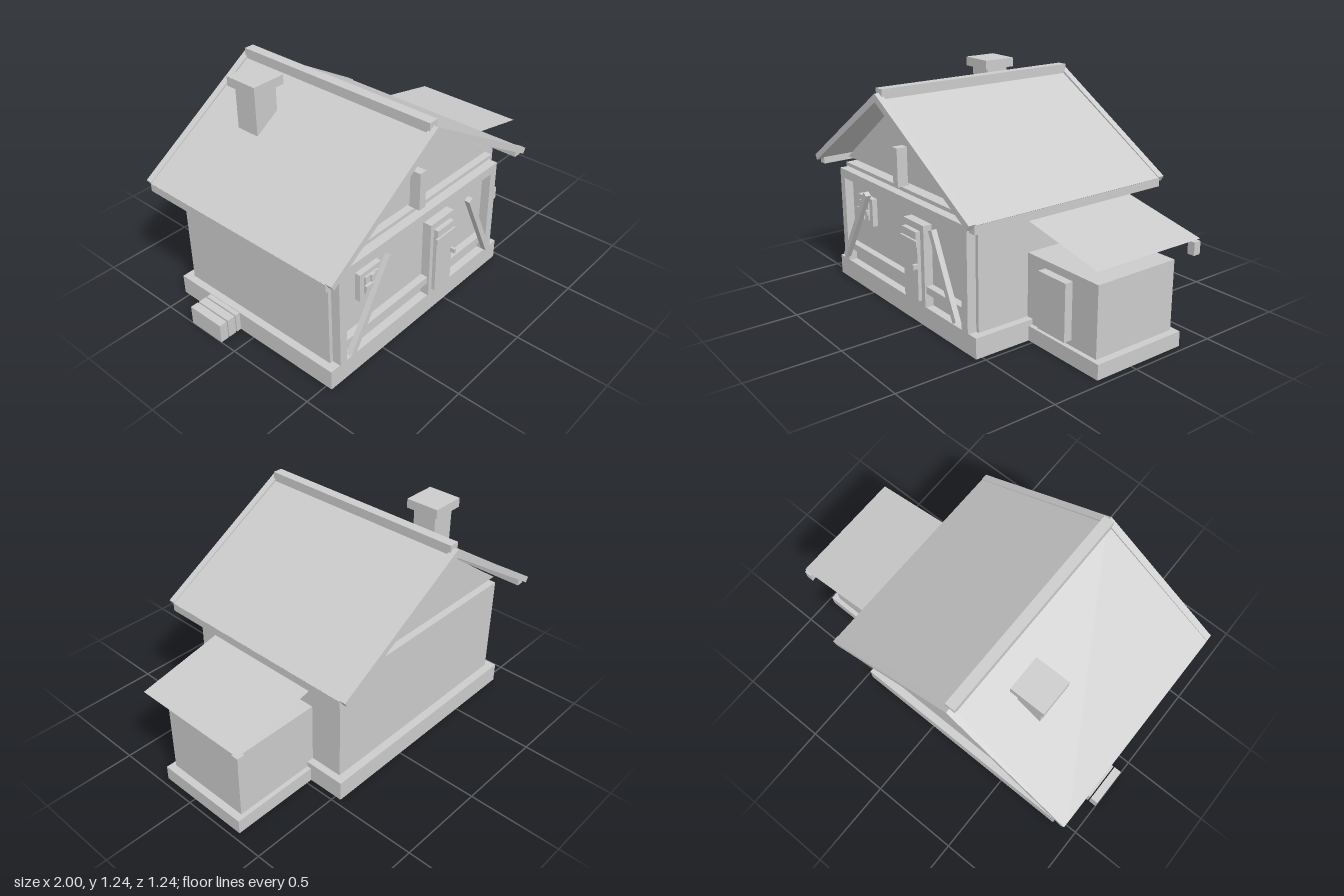
import * as THREE from 'three';

const stone = new THREE.MeshStandardMaterial({ color: 0xcccccc });
stone.name = 'plain grey';
const sheet = stone.clone();
sheet.side = THREE.DoubleSide;
sheet.name = 'plain grey sheet';

export function createModel() {
  const house = new THREE.Group();
  house.name = 'cottage';

  const add = (name, geometry, material = stone) => {
    const mesh = new THREE.Mesh(geometry, material);
    mesh.name = name;
    house.add(mesh);
    return mesh;
  };
  // Box given by its extents on each axis
  const box = (name, x0, x1, y0, y1, z0, z1) => {
    const mesh = add(name, new THREE.BoxGeometry(x1 - x0, y1 - y0, z1 - z0));
    mesh.position.set((x0 + x1) / 2, (y0 + y1) / 2, (z0 + z1) / 2);
    return mesh;
  };
  // Outline in the xy plane extruded from z0 to z1
  const prism = (name, points, z0, z1) => {
    const shape = new THREE.Shape(points.map(([x, y]) => new THREE.Vector2(x, y)));
    const geometry = new THREE.ExtrudeGeometry(shape, { depth: z1 - z0, bevelEnabled: false });
    return add(name, geometry.translate(0, 0, z0));
  };
  // Slanting timber between two points on the front
  const brace = (name, x0, y0, x1, y1, width, z0, z1) => {
    const dx = x1 - x0, dy = y1 - y0;
    const mesh = add(name, new THREE.BoxGeometry(width, Math.hypot(dx, dy), z1 - z0));
    mesh.position.set((x0 + x1) / 2, (y0 + y1) / 2, (z0 + z1) / 2);
    mesh.rotation.z = -Math.atan2(dx, dy);
  };

  // Main house
  box('foundation', -0.87, 0.47, 0, 0.11, -0.535, 0.535);
  box('walls', -0.83, 0.43, 0.11, 0.675, -0.49, 0.49);
  prism('gable', [[-0.83, 0.705], [0.43, 0.705], [-0.24, 1.135]], -0.475, 0.475);
  box('gablePost', -0.24, -0.195, 0.69, 0.895, 0.47, 0.535);

  // Timber frame on the front wall
  box('framePost', -0.81, -0.765, 0.11, 0.655, 0.49, 0.54);
  box('framePost', 0.36, 0.41, 0.11, 0.655, 0.49, 0.54);
  box('frameTopBeam', -0.765, 0.36, 0.605, 0.655, 0.49, 0.54);
  box('frameRail', -0.765, -0.145, 0.185, 0.225, 0.49, 0.53);
  box('frameRail', 0.04, 0.36, 0.185, 0.225, 0.49, 0.53);
  brace('leftBrace', -0.755, 0.15, -0.485, 0.585, 0.032, 0.54, 0.57);
  brace('rightBrace', 0.34, 0.15, 0.145, 0.565, 0.032, 0.54, 0.57);

  // Front door
  box('doorFrame', -0.145, 0.04, 0.11, 0.55, 0.49, 0.54);
  box('door', -0.12, 0.01, 0.14, 0.515, 0.54, 0.56);
  box('doorShelf', -0.13, 0.02, 0.44, 0.47, 0.56, 0.572);
  box('doorTransom', -0.12, 0.01, 0.475, 0.515, 0.56, 0.566);
  box('doorHandle', 0, 0.015, 0.32, 0.345, 0.56, 0.587);

  // Small window with crossed bars
  box('windowFrame', -0.65, -0.5, 0.385, 0.54, 0.49, 0.52);
  box('windowPane', -0.62, -0.53, 0.415, 0.515, 0.52, 0.53);
  box('windowBar', -0.63, -0.52, 0.45, 0.475, 0.53, 0.545);
  box('windowBar', -0.587, -0.563, 0.415, 0.515, 0.53, 0.54);

  // Roof slopes, barge boards and eave beams; the left slope is shorter
  const ridgeX = -0.24;
  for (const [side, eaveX] of [['right', -0.945], ['left', 0.545]]) {
    const s = Math.sign(eaveX - ridgeX);
    const slope = (name, top, bottom, drop, z0, z1) => {
      const points = [[ridgeX, top], [ridgeX, bottom], [eaveX - s * 0.017, 0.687], [eaveX, 0.715 - drop]];
      prism(name, s > 0 ? points : points.reverse(), z0, z1);
    };
    slope(side + 'RoofSlope', 1.165, 1.135, 0.005, -0.585, 0.585);
    slope(side + 'BargeBoard', 1.178, 1.135, 0, 0.585, 0.622);
    slope(side + 'BargeBoard', 1.178, 1.135, 0, -0.622, -0.585);
    const inner = eaveX - s * 0.042;
    box(side + 'EaveBeam', Math.min(inner, eaveX), Math.max(inner, eaveX), 0.665, 0.708, -0.59, 0.59);
  }
  box('ridgeCap', -0.268, -0.213, 1.145, 1.2, -0.597, 0.597);

  // Chimney
  box('chimney', -0.565, -0.428, 0.85, 1.187, -0.342, -0.208);
  box('chimneyCap', -0.59, -0.402, 1.185, 1.235, -0.368, -0.18);

  // Side annex with a lean-to sheet roof
  box('annexFoundation', 0.47, 0.965, 0, 0.08, -0.33, 0.215);
  box('annexWalls', 0.43, 0.925, 0.08, 0.45, -0.305, 0.19);
  box('annexDoor', 0.56, 0.755, 0.11, 0.41, 0.19, 0.235);
  const run = 0.57, fall = 0.12;
  const leanTo = add('annexRoof', new THREE.PlaneGeometry(Math.hypot(run, fall), 0.66).rotateX(-Math.PI / 2), sheet);
  leanTo.rotation.z = -Math.atan2(fall, run);
  leanTo.position.set(0.715, 0.62, -0.06);
  box('annexRoofPost', 0.957, 0.998, 0.478, 0.545, -0.397, -0.356);

  // Side steps
  for (const [x0, x1] of [[-1, -0.955], [-0.948, -0.903], [-0.896, -0.87]])
    box('sideStep', x0, x1, 0, 0.107, -0.315, -0.095);

  return house;
}
